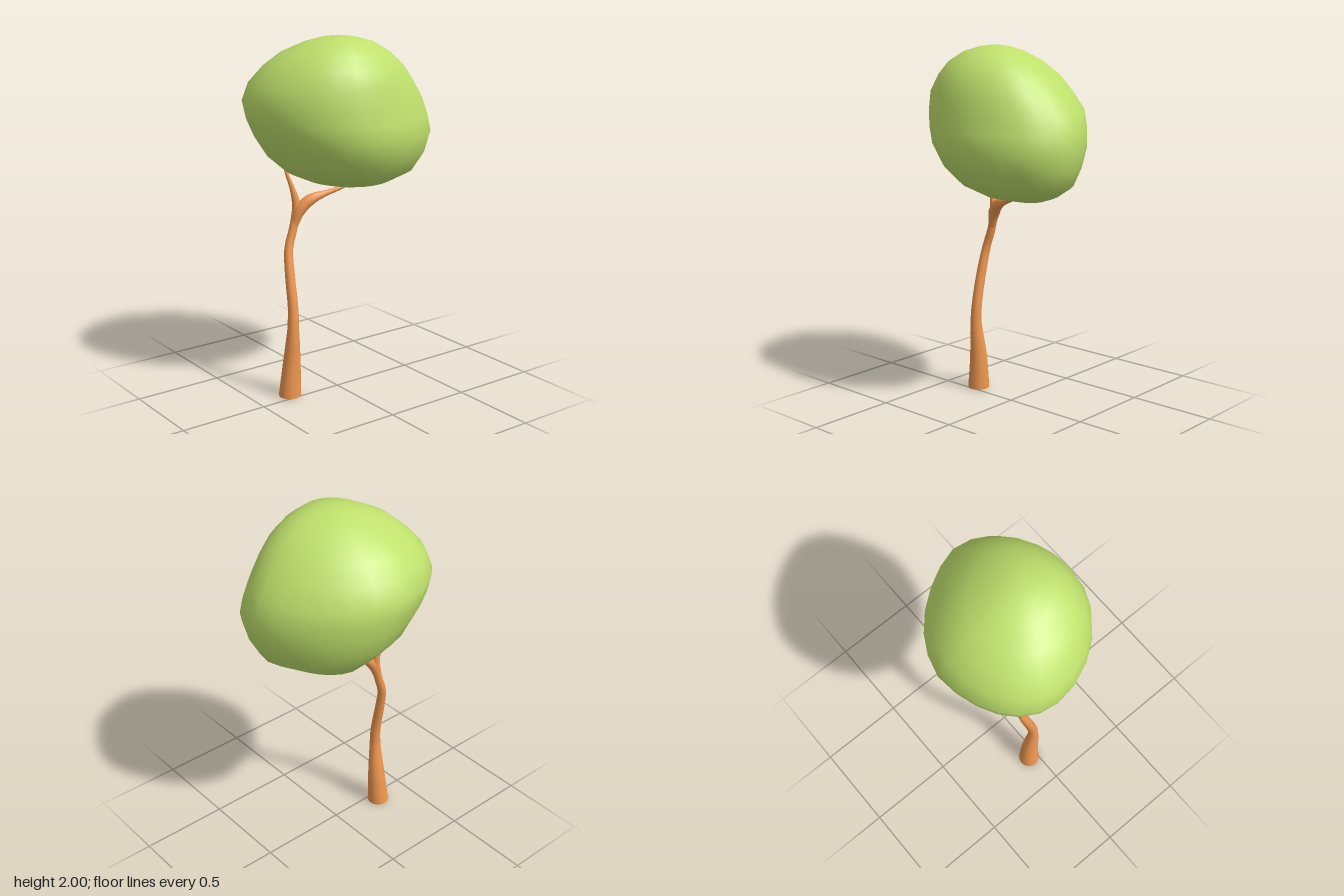
import * as THREE from 'three';
import { mergeVertices } from 'three/addons/utils/BufferGeometryUtils.js';

// Skin a list of equally divided closed rings, ordered from bottom to top
function loft(rings) {
  const n = rings[0].length;
  const index = [];
  for (let i = 0; i < rings.length - 1; i++) {
    for (let j = 0; j < n; j++) {
      const k = (j + 1) % n;
      const a = i * n + j, b = i * n + k, c = a + n, d = b + n;
      index.push(a, c, d, a, d, b);
    }
  }
  const geometry = new THREE.BufferGeometry().setFromPoints(rings.flat());
  geometry.setIndex(index);
  const merged = mergeVertices(geometry);
  merged.computeVertexNormals();
  return merged;
}

// Tapered limb through stations of [x, y, z, radius]
function limb(stations, steps, sides = 14) {
  const curve = new THREE.CatmullRomCurve3(stations.map(([x, y, z]) => new THREE.Vector3(x, y, z)));
  const rings = [];
  for (let i = 0; i <= steps; i++) {
    const t = i / steps;
    const f = t * (stations.length - 1);
    const s = Math.min(Math.floor(f), stations.length - 2);
    const radius = THREE.MathUtils.lerp(stations[s][3], stations[s + 1][3], f - s);
    const center = curve.getPoint(t);
    const along = i === 0 ? new THREE.Vector3(0, 1, 0) : curve.getTangent(t);
    const u = new THREE.Vector3(1, 0, 0).addScaledVector(along, -along.x).normalize();
    const v = u.clone().cross(along);
    rings.push(Array.from({ length: sides }, (_, j) => {
      const a = (j / sides) * Math.PI * 2;
      return center.clone().addScaledVector(u, radius * Math.cos(a)).addScaledVector(v, radius * Math.sin(a));
    }));
  }
  return loft(rings);
}

// Uneven oval slice of the crown
function crownRing([y, x0, x1, z0, z1], sides = 24) {
  const rx = (x1 - x0) / 2, rz = (z1 - z0) / 2;
  return Array.from({ length: sides }, (_, j) => {
    const a = (j / sides) * Math.PI * 2;
    const c = Math.cos(a), s = Math.sin(a);
    // flatter towards the back right, with the front and back tips pulled sideways
    const k = c < 0 && s < 0 ? 1 - 0.16 * c * s : 1;
    return new THREE.Vector3(
      (x0 + x1) / 2 + rx * (c * k - 0.14 * s ** 3), y, (z0 + z1) / 2 + rz * s * k);
  });
}

export function createModel() {
  const tree = new THREE.Group();
  tree.name = 'tree';
  const bark = new THREE.MeshStandardMaterial({ color: 0xf09850 });
  const leaves = new THREE.MeshStandardMaterial({ color: 0xbfe06c });
  const add = (name, geometry, material) => {
    const mesh = new THREE.Mesh(geometry, material);
    mesh.name = name;
    tree.add(mesh);
    return mesh;
  };

  // Trunk running on into the front branch
  add('trunk', limb([
    [-0.048, 0, 0.295, 0.062], [-0.038, 0.2, 0.286, 0.049], [-0.02, 0.4, 0.287, 0.032],
    [-0.025, 0.52, 0.283, 0.029], [-0.06, 0.7, 0.278, 0.027], [-0.088, 0.84, 0.265, 0.024],
    [-0.093, 0.96, 0.227, 0.023], [-0.092, 1.08, 0.21, 0.023], [-0.101, 1.18, 0.232, 0.014],
    [-0.112, 1.27, 0.262, 0.008], [-0.115, 1.32, 0.27, 0.005],
  ], 30), bark);
  const base = add('trunkBase', new THREE.CircleGeometry(0.062, 14), bark);
  base.rotation.x = Math.PI / 2;
  base.position.set(-0.048, 0, 0.295);

  // Branch reaching back under the crown
  add('backBranch', limb([
    [-0.092, 0.95, 0.227, 0.018], [-0.078, 1.05, 0.196, 0.033], [-0.05, 1.108, 0.14, 0.031],
    [-0.02, 1.137, 0.06, 0.016], [0.02, 1.172, -0.04, 0.01], [0.06, 1.22, -0.12, 0.006],
  ], 15), bark);

  // Crown slices: height, x range, z range
  add('crown', loft([
    [1.155, -0.03, -0.03, -0.12, -0.12],
    [1.165, -0.13, 0.06, -0.2, 0.0],
    [1.2, -0.235, 0.21, -0.31, 0.13],
    [1.26, -0.295, 0.32, -0.42, 0.265],
    [1.36, -0.37, 0.4, -0.47, 0.38],
    [1.47, -0.41, 0.435, -0.5, 0.45],
    [1.56, -0.43, 0.425, -0.488, 0.485],
    [1.65, -0.44, 0.41, -0.46, 0.5],
    [1.75, -0.39, 0.395, -0.39, 0.475],
    [1.84, -0.315, 0.365, -0.315, 0.405],
    [1.91, -0.22, 0.315, -0.23, 0.33],
    [1.965, -0.1, 0.245, -0.13, 0.22],
    [1.99, -0.01, 0.16, -0.04, 0.13],
    [2.0, 0.075, 0.075, 0.045, 0.045],
  ].map((slice) => crownRing(slice))), leaves);

  return tree;
}
